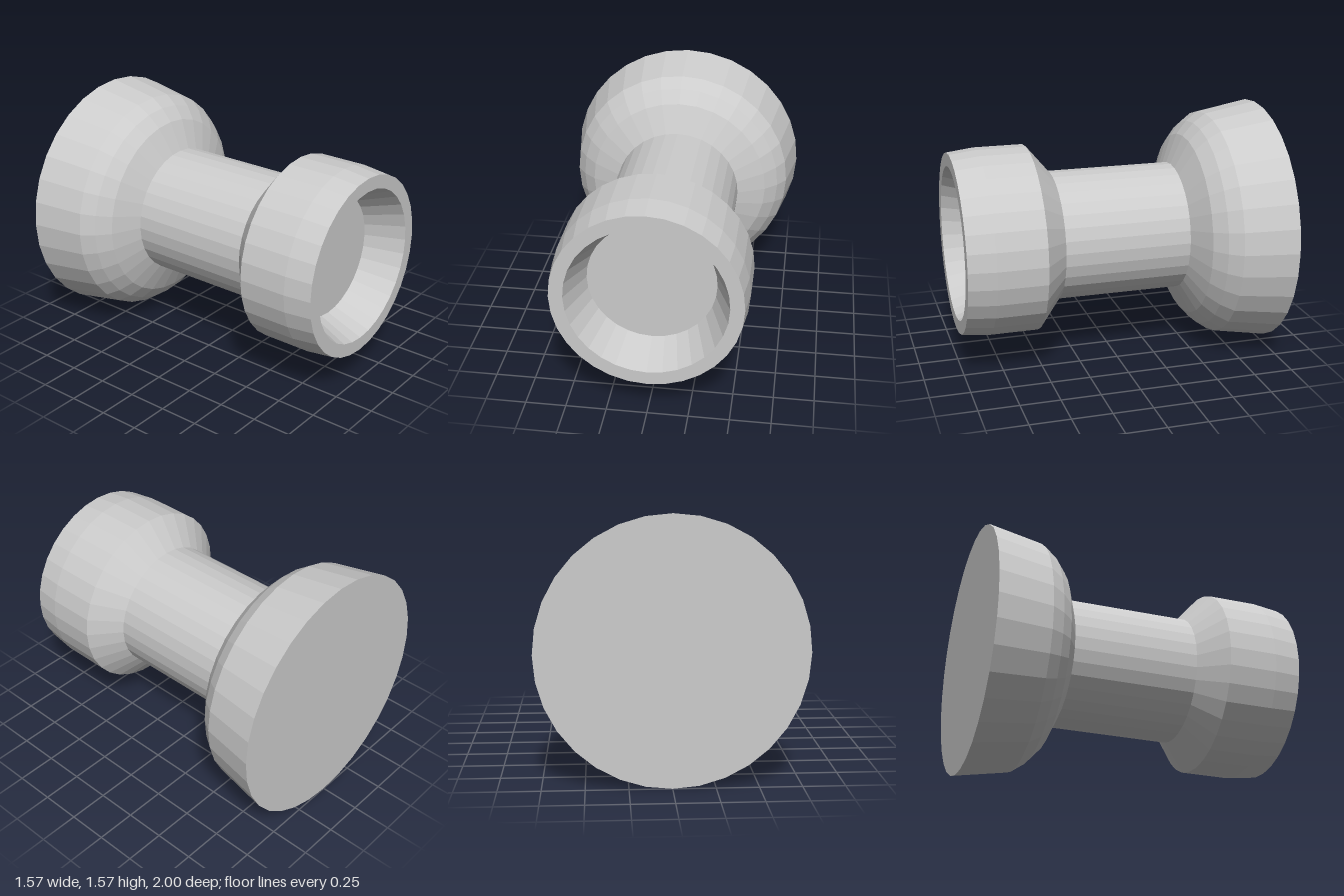
import * as THREE from 'three';

const SIDES = 32;
const AXIS_HEIGHT = 0.79;

export function createModel() {
  const model = new THREE.Group();
  model.name = 'flaredSpool';
  const material = new THREE.MeshStandardMaterial({ color: 0xcccccc, flatShading: true });

  // Turns a profile of [radius, z] points, listed back to front, around the z axis
  const addTurned = (name, profile) => {
    const points = profile.map(([r, z]) => new THREE.Vector2(r, z));
    const geometry = new THREE.LatheGeometry(points, SIDES);
    geometry.rotateX(Math.PI / 2);
    const mesh = new THREE.Mesh(geometry, material);
    mesh.name = name;
    mesh.position.y = AXIS_HEIGHT;
    model.add(mesh);
  };

  // Wide rear bell, closed by a flat disc
  addTurned('rearBell', [
    [0, -1], [0.787, -1], [0.727, -0.66], [0.67, -0.58], [0.59, -0.51], [0.41, -0.43],
  ]);

  // Straight shaft between the two ends
  addTurned('shaft', [[0.41, -0.43], [0.41, 0.37]]);

  // Front collar with a tapered recess and flat recess floor
  addTurned('frontCollar', [
    [0.41, 0.37], [0.59, 0.52], [0.59, 0.83], [0.57, 1],
    [0.485, 1], [0.39, 0.76], [0, 0.76],
  ]);

  return model;
}
